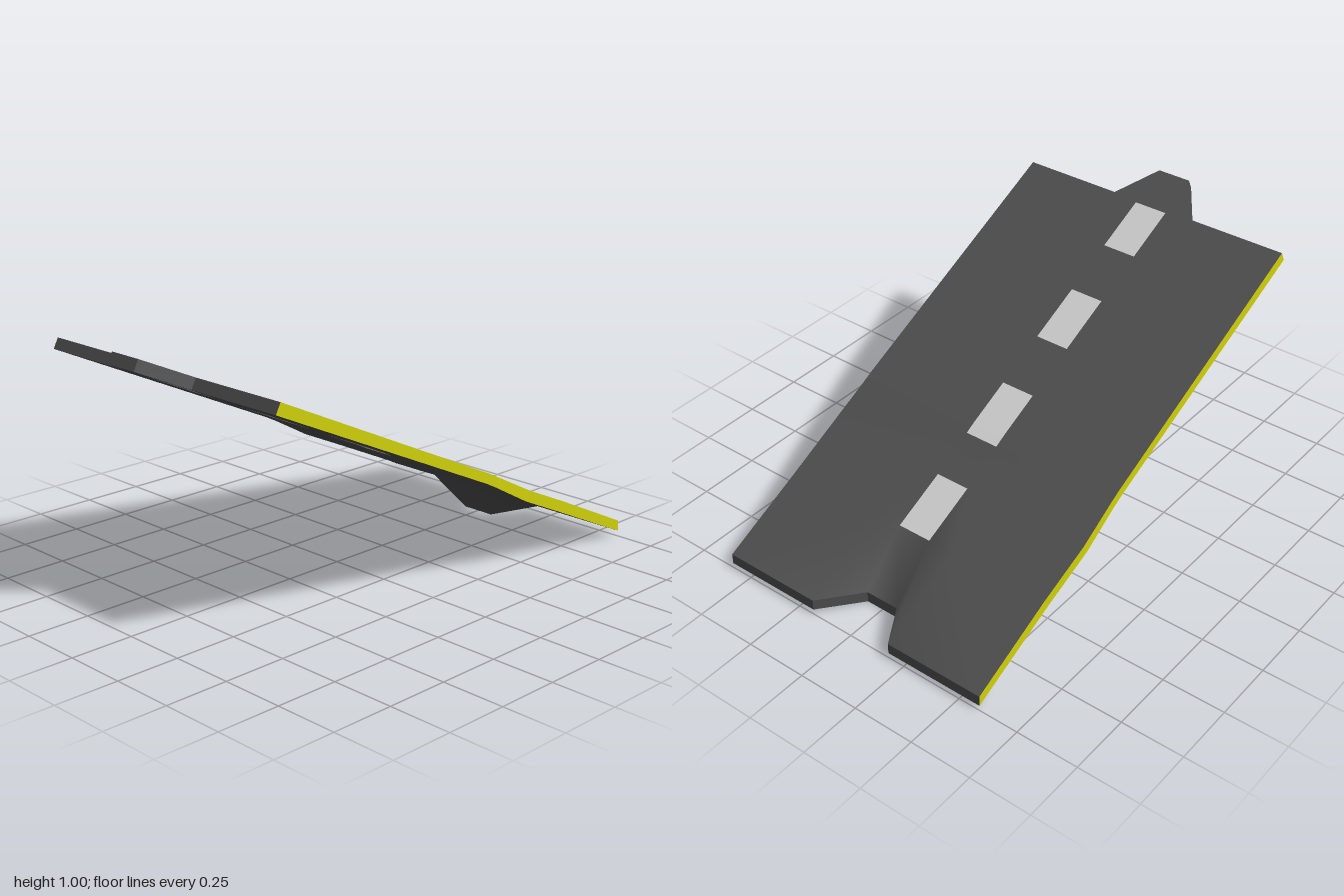
import * as THREE from 'three';

// Lattice of the slab: columns across (x) and rows along the slope (z)
const X = [-0.59, -0.18, -0.07, 0.07, 0.18, 0.59];
const Z = [-1, -0.64, -0.42, -0.25, -0.2, -0.03, 0.18, 0.4, 0.61, 0.82, 0.83];
const DASH_ROWS = [1, 3, 4, 6, 8];
const LAST = Z.length - 1;

// Height profiles of the upper and lower faces: [z, y]
const TOP = [[-1, 0.065], [-0.64, 0.235], [-0.42, 0.335], [-0.2, 0.45], [0.98, 1]];
const BOTTOM = [[-1, 0.022], [-0.62, 0.197], [-0.4, 0.297], [-0.2, 0.408], [1, 0.96]];

function heightAt(profile, z) {
  let k = 0;
  while (k < profile.length - 2 && z > profile[k + 1][0]) k++;
  const [z0, y0] = profile[k], [z1, y1] = profile[k + 1];
  return y0 + (y1 - y0) * (z - z0) / (z1 - z0);
}

// One lattice point; the middle columns form the tab in front and the sunken notch behind
function point(i, j, under) {
  const middle = i === 2 || i === 3;
  let x = X[i], z = Z[j];
  if ((i === 0 || i === 5) && j === 2) x *= 1.008;
  if (middle && j === 0) return [x, under ? 0 : 0.045, -0.83];
  if (middle && j === LAST) z = 0.98;
  if (under && j > 0) z += 0.02;
  const y = heightAt(under ? BOTTOM : TOP, z);
  return [x, under && middle && j === 2 ? y - 0.006 : y, z];
}

// Quad sheet over P(u, v); keep picks the cells, diagonals are mirrored about the middle
function sheet(nu, nv, P, keep = () => true) {
  const positions = [], index = [];
  for (let v = 0; v <= nv; v++) for (let u = 0; u <= nu; u++) positions.push(...P(u, v));
  for (let v = 0; v < nv; v++) {
    for (let u = 0; u < nu; u++) {
      if (!keep(u, v)) continue;
      const a = v * (nu + 1) + u, b = a + 1, d = a + nu + 1, c = d + 1;
      if (u >= 3) index.push(a, d, b, b, d, c);
      else index.push(a, d, c, a, c, b);
    }
  }
  const geometry = new THREE.BufferGeometry();
  geometry.setAttribute('position', new THREE.Float32BufferAttribute(positions, 3));
  geometry.setIndex(index);
  geometry.computeVertexNormals();
  return geometry;
}

export function createModel() {
  const group = new THREE.Group();
  const asphalt = new THREE.MeshStandardMaterial({ color: 0x4d4d4d });
  const asphaltEdge = new THREE.MeshStandardMaterial({ color: 0x4d4d4d, flatShading: true });
  const paint = new THREE.MeshStandardMaterial({ color: 0xcccccc });
  const yellow = new THREE.MeshStandardMaterial({ color: 0xd0d00a, flatShading: true });

  const add = (name, geometry, material) => {
    const mesh = new THREE.Mesh(geometry, material);
    mesh.name = name;
    group.add(mesh);
  };

  const isDash = (u, v) => u === 2 && DASH_ROWS.includes(v);
  const isRoad = (u, v) => !isDash(u, v);

  // Road faces with the lane dashes set flush into both
  const upper = (u, v) => point(u, v, false);
  const lower = (u, v) => point(5 - u, v, true);
  add('roadSurface', sheet(5, LAST, upper, isRoad), asphalt);
  add('laneDashes', sheet(5, LAST, upper, isDash), paint);
  add('roadUnderside', sheet(5, LAST, lower, isRoad), asphalt);
  add('undersideDashes', sheet(5, LAST, lower, isDash), paint);

  // End walls following the tab and the notch
  add('frontEdge', sheet(5, 1, (u, v) => point(u, LAST, v === 1)), asphaltEdge);
  add('backEdge', sheet(5, 1, (u, v) => point(5 - u, 0, v === 1)), asphaltEdge);

  // Yellow side strips
  add('leftSideStrip', sheet(LAST, 1, (u, v) => point(5, LAST - u, v === 1)), yellow);
  add('rightSideStrip', sheet(LAST, 1, (u, v) => point(0, u, v === 1)), yellow);

  return group;
}
